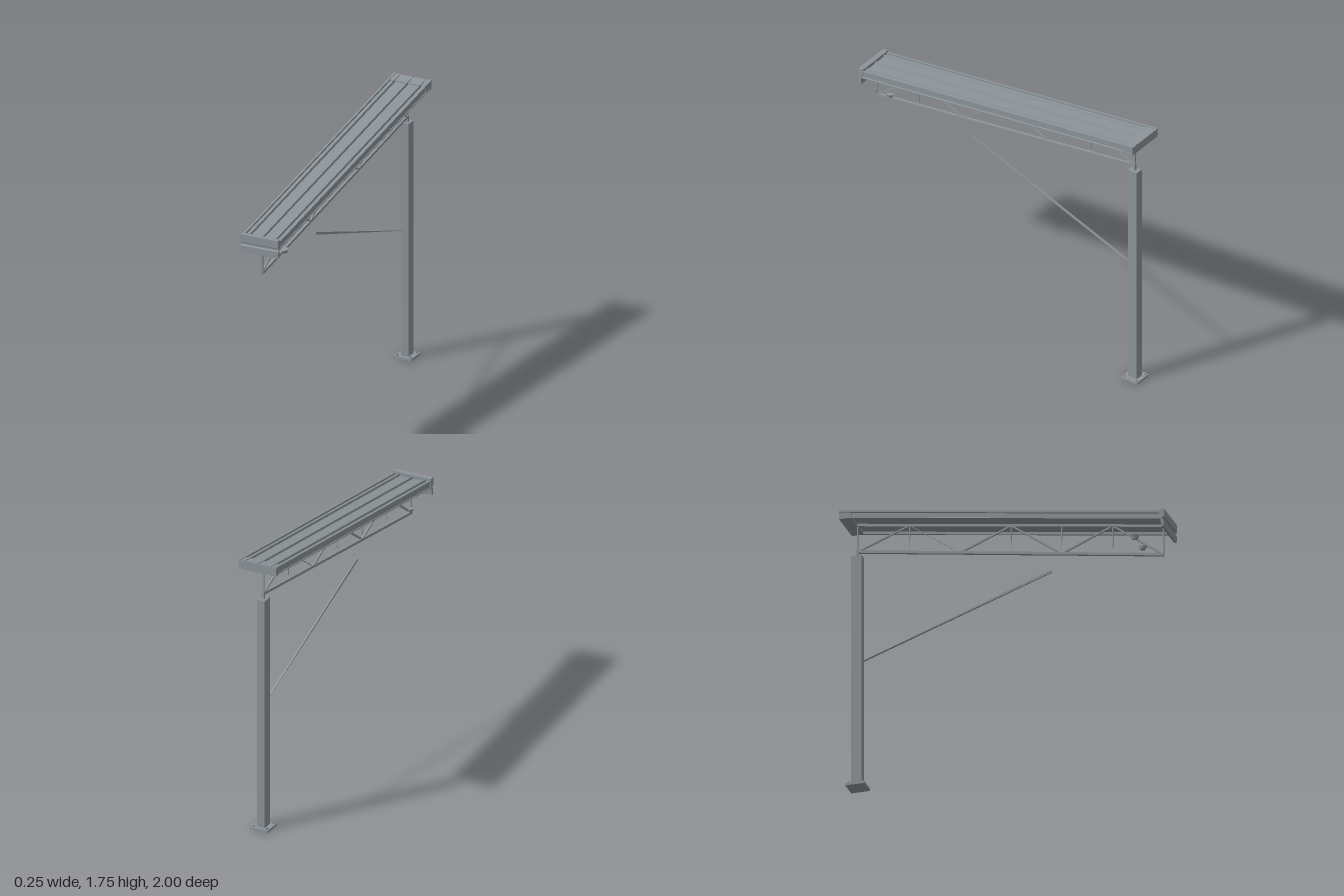
import * as THREE from 'three';

export function createModel() {
  const model = new THREE.Group();
  const steel = new THREE.MeshStandardMaterial({ color: 0x8c9499 });
  steel.name = 'galvanised steel';

  function add(name, geometry, parent = model) {
    const mesh = new THREE.Mesh(geometry, steel);
    mesh.name = name;
    parent.add(mesh);
    return mesh;
  }
  function group(name) {
    const g = new THREE.Group();
    g.name = name;
    model.add(g);
    return g;
  }
  function box(name, w, h, d, x, y, z, parent) {
    return add(name, new THREE.BoxGeometry(w, h, d).translate(x, y, z), parent);
  }
  // Straight bar in the x = 0 plane between two [z, y] points;
  // start and end are [width, height] of its section
  function bar(name, a, b, start, end, parent) {
    const p = new THREE.Vector3(0, a[1], a[0]);
    const q = new THREE.Vector3(0, b[1], b[0]);
    const geo = new THREE.BoxGeometry(1, 1, p.distanceTo(q));
    const pos = geo.attributes.position;
    for (let i = 0; i < pos.count; i++) {
      const s = pos.getZ(i) < 0 ? start : end;
      pos.setX(i, pos.getX(i) * s[0]);
      pos.setY(i, pos.getY(i) * s[1]);
    }
    geo.computeVertexNormals();
    const mesh = add(name, geo, parent);
    mesh.position.copy(p).add(q).multiplyScalar(0.5);
    mesh.lookAt(q);
  }
  function shape(points) {
    return new THREE.Shape(points.map(([x, y]) => new THREE.Vector2(x, y)));
  }
  // Height of the roof edge at depth z
  const roofY = z => 1.604 - 0.1465 * z;
  // Extrude an (x, y) section along the pitched roof
  function pitched(name, points, parent) {
    const geo = new THREE.ExtrudeGeometry(shape(points), { depth: 1.975, bevelEnabled: false });
    geo.translate(0, 0, -1);
    const pos = geo.attributes.position;
    for (let i = 0; i < pos.count; i++) pos.setY(i, pos.getY(i) + roofY(pos.getZ(i)));
    geo.computeVertexNormals();
    add(name, geo, parent);
  }
  // Extrude a (z, y) section across the roof width
  function across(name, points, width, parent) {
    const geo = new THREE.ExtrudeGeometry(shape(points.map(([z, y]) => [-z, y])),
      { depth: width, bevelEnabled: false });
    geo.translate(0, 0, -width / 2).rotateY(Math.PI / 2);
    geo.rotateY(Math.PI).scale(1, 1, 1);
    // keep +z towards the front
    const pos = geo.attributes.position;
    geo.computeBoundingBox();
    if (Math.sign(geo.boundingBox.min.z + geo.boundingBox.max.z) !== Math.sign(points[0][0])) {
      geo.rotateY(Math.PI);
    }
    pos.needsUpdate = true;
    add(name, geo, parent);
  }

  // Column with base plate and anchor bolts
  const column = group('column');
  box('columnPost', 0.05, 1.475, 0.064, 0, 0.7525, -0.925, column);
  box('basePlate', 0.116, 0.015, 0.116, 0, 0.0075, -0.925, column);
  for (const x of [-0.043, 0.043]) {
    for (const z of [-0.043, 0.043]) {
      add('anchorBolt', new THREE.CylinderGeometry(0.007, 0.007, 0.012, 6)
        .translate(x, 0.02, -0.925 + z), column);
    }
  }

  // Ribbed roof sheet
  const roof = group('roof');
  const top = [[-0.118, -0.012]];
  for (const x of [-0.085, 0, 0.085]) {
    top.push([x - 0.007, -0.012], [x - 0.003, 0], [x + 0.003, 0], [x + 0.007, -0.012]);
  }
  top.push([0.118, -0.012], [0.118, -0.034], [-0.118, -0.034]);
  pitched('roofSheet', top, roof);

  // Channel-shaped side fascias
  for (const s of [-1, 1]) {
    pitched('sideFascia', [[0.112, 0], [0.124, 0], [0.124, -0.012], [0.119, -0.016],
      [0.119, -0.042], [0.124, -0.045], [0.124, -0.05], [0.112, -0.05]]
      .map(([x, y]) => [s * x, y]), roof);
  }

  // Rear closure and stepped front gutter
  across('rearFascia', [[-1, 1.692], [-0.925, 1.692], [-0.925, 1.735], [-1, 1.747]], 0.245, roof);
  across('frontGutter', [[0.968, 1.472], [1, 1.472], [1, 1.425], [0.988, 1.417], [0.988, 1.408],
    [0.998, 1.402], [0.998, 1.362], [0.982, 1.362], [0.978, 1.41], [0.968, 1.42]], 0.247, roof);

  // Roof truss: chords, zigzag web and hangers
  const truss = group('truss');
  const under = z => roofY(z) - 0.044;
  const chordY = z => 1.382 - 0.1537 * z;
  bar('topChord', [0.957, under(0.957)], [-0.93, under(-0.93)], [0.014, 0.016], [0.014, 0.016], truss);
  bar('bottomChord', [0.96, chordY(0.96)], [-0.93, chordY(-0.93)], [0.016, 0.016], [0.016, 0.016], truss);
  const nodes = [0.957, 0.645, 0.33, 0.02, -0.295, -0.605, -0.925];
  const node = i => [nodes[i], i % 2 ? under(nodes[i]) : chordY(nodes[i])];
  for (let i = 0; i < 6; i++) {
    const t = i === 4 ? 0.004 : 0.01;
    bar('diagonal', node(i), node(i + 1), [t, t], [t, t], truss);
  }
  for (const z of nodes) {
    if (z === -0.295) continue;
    const end = z === 0.957 || z === -0.925;
    const foot = end ? chordY(z) : chordY(z) + 0.03;
    bar('hanger', [z, under(z)], [z, foot], [0.009, 0.008], end ? [0.009, 0.007] : [0.003, 0.003], truss);
  }
  box('postCap', 0.016, 0.045, 0.014, 0, 1.51, -0.925, truss);

  // Brace rising from the column, flattening towards its foot
  bar('brace', [-0.895, 0.812], [0.27, 1.228], [0.016, 0.002], [0.008, 0.016]);

  // Pair of small lamps under the front of the roof
  for (const x of [-0.075, 0.075]) {
    const lamp = add('lamp', new THREE.CylinderGeometry(0.017, 0.011, 0.02, 10));
    lamp.scale.z = 1.5;
    lamp.rotation.x = 0.12;
    lamp.position.set(x, 1.332, 0.805);
  }
  return model;
}
